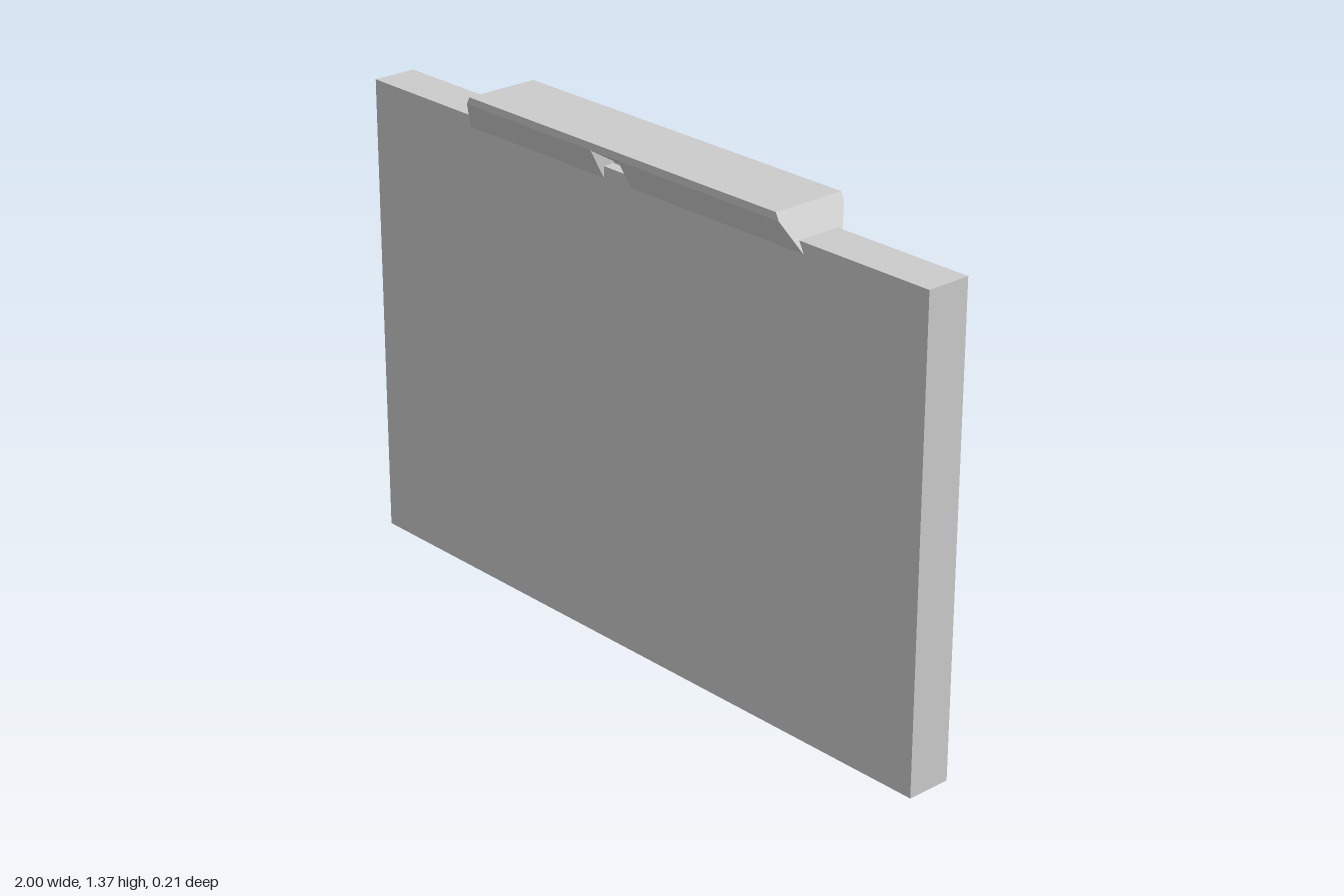
import * as THREE from 'three';

const material = new THREE.MeshStandardMaterial({ color: 0xcccccc, flatShading: true });

// Heights of the flared cap and its slope at both ends
const BOTTOM = 1.265, RIM = 1.345, TOP = 1.365;
const endX = (y) => 0.605 - (y - BOTTOM) * 0.5;

// Back half of the cap profile as [z, y]
const back = [[-0.063, BOTTOM], [-0.105, RIM], [-0.105, TOP]];
const fullProfile = [...back, [0.105, TOP], [0.105, RIM], [0.063, BOTTOM]];
const notchProfile = [...back, [0.105, TOP], [0.105, RIM], [0.03, 1.3], [0.03, BOTTOM]];

// Extrudes a [z, y] profile from x0 to x1 and slopes the outer ends
function capSection(name, profile, x0, x1) {
  const shape = new THREE.Shape(profile.map(([z, y]) => new THREE.Vector2(-z, y)));
  const geometry = new THREE.ExtrudeGeometry(shape, { depth: x1 - x0, bevelEnabled: false });
  geometry.rotateY(Math.PI / 2).translate(x0, 0, 0);
  const p = geometry.attributes.position;
  for (let i = 0; i < p.count; i++) {
    if (Math.abs(p.getX(i)) > 0.5) p.setX(i, Math.sign(p.getX(i)) * endX(p.getY(i)));
  }
  geometry.computeVertexNormals();
  const mesh = new THREE.Mesh(geometry, material);
  mesh.name = name;
  return mesh;
}

export function createModel() {
  const model = new THREE.Group();
  model.name = 'panelWithFlaredCap';

  // Upright slab
  const slab = new THREE.Mesh(new THREE.BoxGeometry(2, 1.295, 0.125), material);
  slab.position.y = 1.295 / 2;
  slab.name = 'slab';
  model.add(slab);

  // Flared cap with a notch in its front flange
  const cap = new THREE.Group();
  cap.name = 'cap';
  cap.add(
    capSection('capRight', fullProfile, -0.6, -0.09),
    capSection('capNotch', notchProfile, -0.09, 0.01),
    capSection('capLeft', fullProfile, 0.01, 0.6),
  );
  model.add(cap);
  return model;
}
